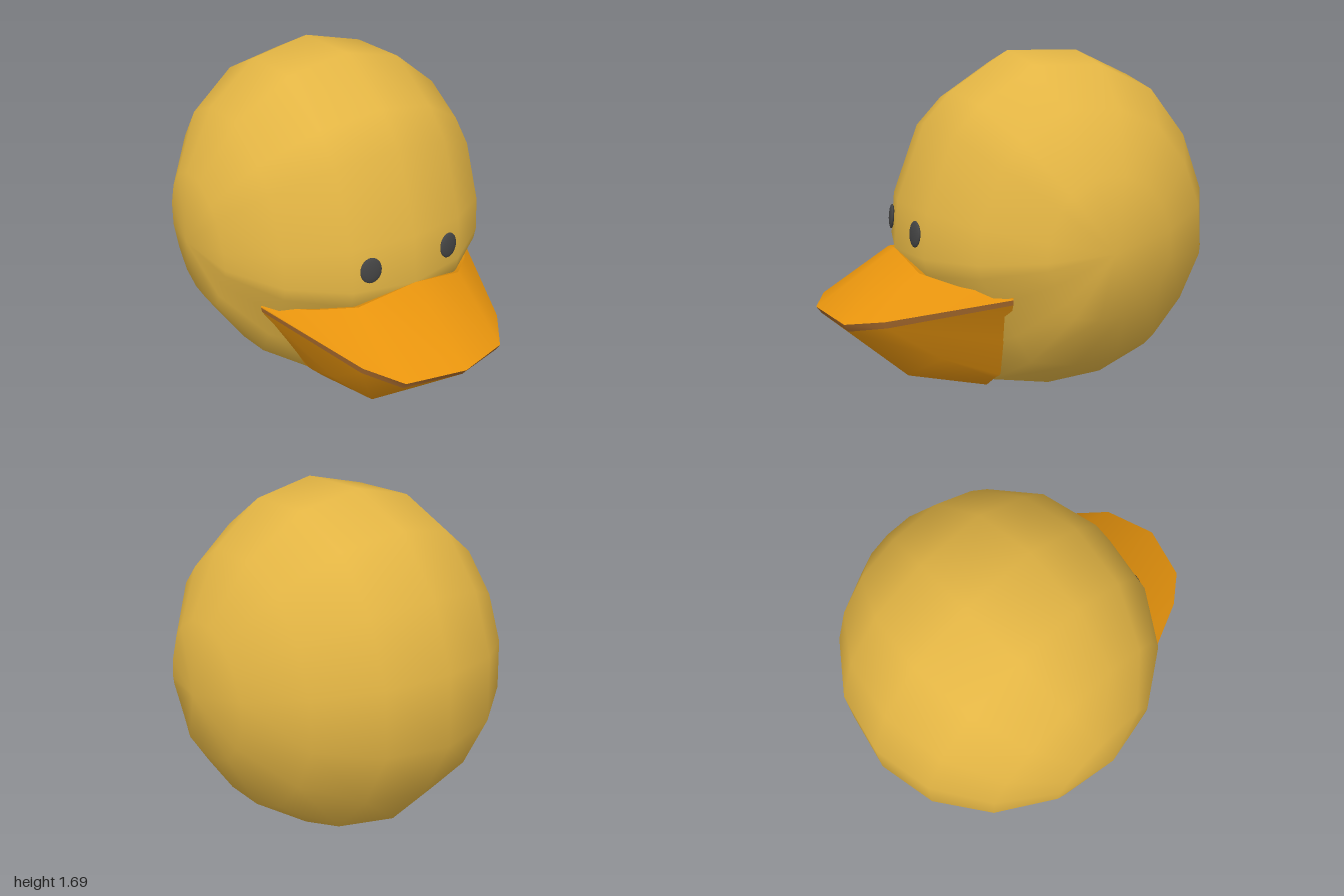
import * as THREE from 'three';
import { mergeVertices } from 'three/addons/utils/BufferGeometryUtils.js';

const material = (color, side = THREE.FrontSide) => new THREE.MeshStandardMaterial({ color, side });

// Smooth surface through a grid of points: rows run downwards, columns from -x to +x.
function gridSurface(rows) {
  const cols = rows[0].length;
  const index = [];
  for (let r = 0; r < rows.length - 1; r++) {
    for (let c = 0; c < cols - 1; c++) {
      const a = r * cols + c, b = a + cols;
      index.push(a, b, b + 1, a, b + 1, a + 1);
    }
  }
  const raw = new THREE.BufferGeometry();
  raw.setAttribute('position', new THREE.Float32BufferAttribute(rows.flat(2), 3));
  raw.setIndex(index);
  const geometry = mergeVertices(raw, 1e-4);
  geometry.computeVertexNormals();
  return geometry;
}

// Rows are given from the middle outwards and mirrored across x = 0.
const mirrorRow = (row) => [
  ...row.slice(1).reverse().map(([x, y, z]) => [-x, y, z]),
  ...row,
];

function addMesh(parent, name, geometry, mat) {
  const mesh = new THREE.Mesh(geometry, mat);
  mesh.name = name;
  parent.add(mesh);
  return mesh;
}

// Head: a side profile [z, y] shrunk towards a pole on each side.
function headGeometry() {
  const profile = [
    [0.02, 1.69], [0.31, 1.5], [0.45, 1.35], [0.59, 0.98], [0.61, 0.75], [0.59, 0.66],
    [0.48, 0.48], [0.35, 0.26], [0.25, 0.065], [-0.07, 0], [-0.38, 0.02], [-0.66, 0.14],
    [-0.86, 0.38], [-1, 0.68], [-0.98, 1.01], [-0.86, 1.31], [-0.65, 1.56], [-0.35, 1.69],
  ];
  const cy = 0.83, cz = -0.18, halfWidth = 0.79, rings = 8;
  const rows = [...profile, profile[0]].map(([z, y]) => {
    const row = [];
    for (let i = 0; i <= rings; i++) {
      const t = (i / rings) * Math.PI;
      const s = Math.sin(t);
      row.push([-halfWidth * Math.cos(t), cy + (y - cy) * s, cz + (z - cz) * s]);
    }
    return row;
  });
  return gridSurface(rows);
}

export function createModel() {
  const model = new THREE.Group();
  model.name = 'duckHead';

  addMesh(model, 'head', headGeometry(), material(0xe3b544));

  // Bill, in cross rows from the face over the lips to the throat
  const tucked = [[0, 0.7, 0.5], [0.27, 0.64, 0.46], [0.42, 0.62, 0.34], [0.56, 0.6, 0.18]];
  const brow = [[0, 0.75, 0.61], [0.29, 0.69, 0.57], [0.45, 0.655, 0.43], [0.61, 0.625, 0.23]];
  const upperLip = [[0, 0.495, 1], [0.27, 0.48, 0.92], [0.39, 0.51, 0.76], [0.61, 0.615, 0.23]];
  const lowerLip = [[0, 0.46, 0.975], [0.27, 0.445, 0.9], [0.39, 0.48, 0.75], [0.605, 0.59, 0.23]];
  const chin = [[0, 0.18, 0.66], [0.24, 0.18, 0.62], [0.39, 0.3, 0.5], [0.48, 0.38, 0.21]];
  const throat = [[0, 0.06, 0.25], [0.28, 0.09, 0.24], [0.34, 0.145, 0.22], [0.36, 0.165, 0.2]];

  const bill = new THREE.Group();
  bill.name = 'bill';
  model.add(bill);
  const orange = material(0xe6930d, THREE.DoubleSide);
  const addBillPart = (name, rows, mat) =>
    addMesh(bill, name, gridSurface(rows.map(mirrorRow)), mat);
  addBillPart('billRoot', [tucked, brow], orange);
  addBillPart('upperBill', [brow, upperLip], orange);
  addBillPart('mouthLine', [upperLip, lowerLip], material(0xa0652a, THREE.DoubleSide));
  addBillPart('lowerBill', [lowerLip, chin, throat], orange);

  // Eyes: flattened discs lying on the face
  const eyeGeometry = new THREE.SphereGeometry(1, 24, 16);
  const eyeMaterial = material(0x444444);
  for (const side of [1, -1]) {
    const eye = addMesh(model, side > 0 ? 'leftEye' : 'rightEye', eyeGeometry, eyeMaterial);
    eye.scale.set(0.053, 0.062, 0.014);
    eye.position.set(side * 0.22, 0.86, 0.567);
    eye.rotation.set(-0.08, side * 0.16, 0);
  }
  return model;
}
